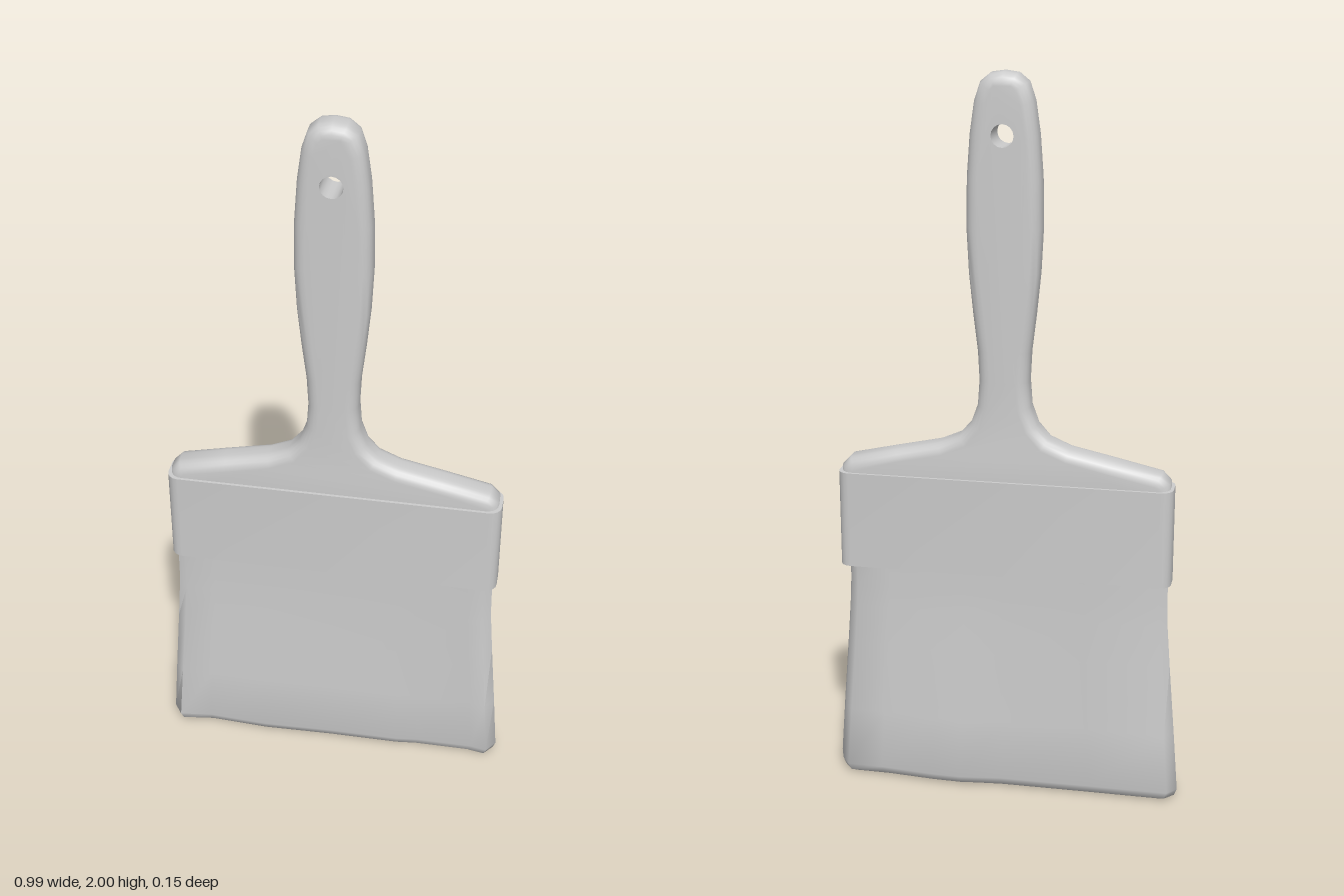
import * as THREE from 'three';
import { toCreasedNormals } from 'three/addons/utils/BufferGeometryUtils.js';

const material = new THREE.MeshStandardMaterial({ color: 0xcccccc });

// Skins rings { pts: [Vector2], h } along z and caps both ends, with an optional through-hole.
function loft(rings, hole = []) {
  const pos = [];
  const put = (p, h) => pos.push(p.x, p.y, h);
  const wall = (a, b) => a.pts.forEach((p, j) => {
    const k = (j + 1) % a.pts.length;
    put(p, a.h); put(a.pts[k], a.h); put(b.pts[k], b.h);
    put(p, a.h); put(b.pts[k], b.h); put(b.pts[j], b.h);
  });
  for (let i = 0; i < rings.length - 1; i++) wall(rings[i], rings[i + 1]);
  const first = rings[0], last = rings[rings.length - 1];
  if (hole.length) wall({ pts: hole, h: first.h }, { pts: hole, h: last.h });
  for (const [ring, flip] of [[first, true], [last, false]]) {
    const all = [...ring.pts, ...hole];
    for (const f of THREE.ShapeUtils.triangulateShape([...ring.pts], hole.length ? [[...hole]] : [])) {
      for (const i of flip ? [f[2], f[1], f[0]] : f) put(all[i], ring.h);
    }
  }
  const g = new THREE.BufferGeometry();
  g.setAttribute('position', new THREE.Float32BufferAttribute(pos, 3));
  return g;
}

// Moves a counterclockwise outline inwards by d with mitred corners.
function inset(pts, d) {
  const n = pts.length;
  return pts.map((p, i) => {
    const a = p.clone().sub(pts[(i + n - 1) % n]).normalize();
    const b = pts[(i + 1) % n].clone().sub(p).normalize();
    const na = new THREE.Vector2(-a.y, a.x), nb = new THREE.Vector2(-b.y, b.x);
    return p.clone().addScaledVector(na.clone().add(nb), d / (1 + na.dot(nb)));
  });
}

function part(name, geometry, crease) {
  const mesh = new THREE.Mesh(toCreasedNormals(geometry, crease), material);
  mesh.name = name;
  return mesh;
}

// Flat handle with rounded rim, flared shoulders and a hanging hole.
function makeHandle() {
  const side = [
    [0.452, 0.85], [0.452, 0.928], [0.428, 0.953], [0.3, 0.982], [0.18, 1.008], [0.122, 1.033],
    [0.09, 1.07], [0.072, 1.12], [0.067, 1.19], [0.071, 1.27], [0.083, 1.37], [0.094, 1.48],
    [0.1, 1.6], [0.098, 1.73], [0.09, 1.84], [0.078, 1.925], [0.062, 1.973], [0.035, 1.995],
  ].map(([x, y]) => new THREE.Vector2(x, y));
  const outline = [...side, new THREE.Vector2(0, 2),
    ...side.map((p) => new THREE.Vector2(-p.x, p.y)).reverse()];
  const r = 0.032, half = 0.045, steps = 5, rings = [];
  for (const s of [-1, 1]) {
    for (let i = 0; i <= steps; i++) {
      const a = ((s < 0 ? steps - i : i) / steps) * Math.PI / 2;
      rings.push({ pts: inset(outline, r * (1 - Math.cos(a))), h: s * (half - r + r * Math.sin(a)) });
    }
  }
  const hole = Array.from({ length: 16 }, (_, i) => {
    const a = -i / 16 * Math.PI * 2;
    return new THREE.Vector2(0.03 * Math.cos(a), 1.84 + 0.03 * Math.sin(a));
  });
  return part('handle', loft(rings, hole), 0.8);
}

// Metal band around the shoulders and the bristle root.
function makeFerrule() {
  const w = 0.461, d = 0.053, r = 0.032, pts = [];
  [[1, -1], [1, 1], [-1, 1], [-1, -1]].forEach(([sx, sy], q) => {
    for (let i = 0; i <= 4; i++) {
      const a = (q - 1 + i / 4) * Math.PI / 2;
      pts.push(new THREE.Vector2(sx * (w - r) + r * Math.cos(a), sy * (d - r) + r * Math.sin(a)));
    }
  });
  return part('ferrule', loft([{ pts, h: 0.64 }, { pts, h: 0.912 }]).rotateX(-Math.PI / 2), 0.7);
}

// Bristle block: even at the root, flaring to a slightly wavy tip.
function makeBristles() {
  const tip = [
    [-0.46, 0.071], [-0.37, 0.058], [-0.2, 0.067], [0, 0.06], [0.2, 0.059], [0.26, 0.052],
    [0.42, 0.051], [0.467, 0.06], [0.492, 0.025], [0.475, -0.025], [0.45, -0.06], [0.35, -0.061],
    [0.2, -0.075], [0.12, -0.077], [0, -0.062], [-0.25, -0.06], [-0.47, -0.06], [-0.496, -0.03],
    [-0.485, 0.035],
  ];
  const clamp = THREE.MathUtils.clamp;
  const ring = (h, flare, sx = 1, sz = 1) => ({
    h,
    pts: tip.map(([x, z]) => new THREE.Vector2(
      sx * THREE.MathUtils.lerp(x * 0.915, x, flare),
      -sz * THREE.MathUtils.lerp(clamp(z, -0.043, 0.043), z, flare))),
  });
  const rings = [ring(0, 0.9, 0.955, 0.72), ring(0.008, 1, 0.985, 0.9), ring(0.028, 1),
    ring(0.2, 0.68), ring(0.4, 0.28), ring(0.52, 0.06), ring(0.58, 0), ring(0.68, 0)];
  return part('bristles', loft(rings).rotateX(-Math.PI / 2), 1);
}

export function createModel() {
  const group = new THREE.Group();
  group.name = 'paintbrush';
  group.add(makeHandle(), makeFerrule(), makeBristles());
  return group;
}
